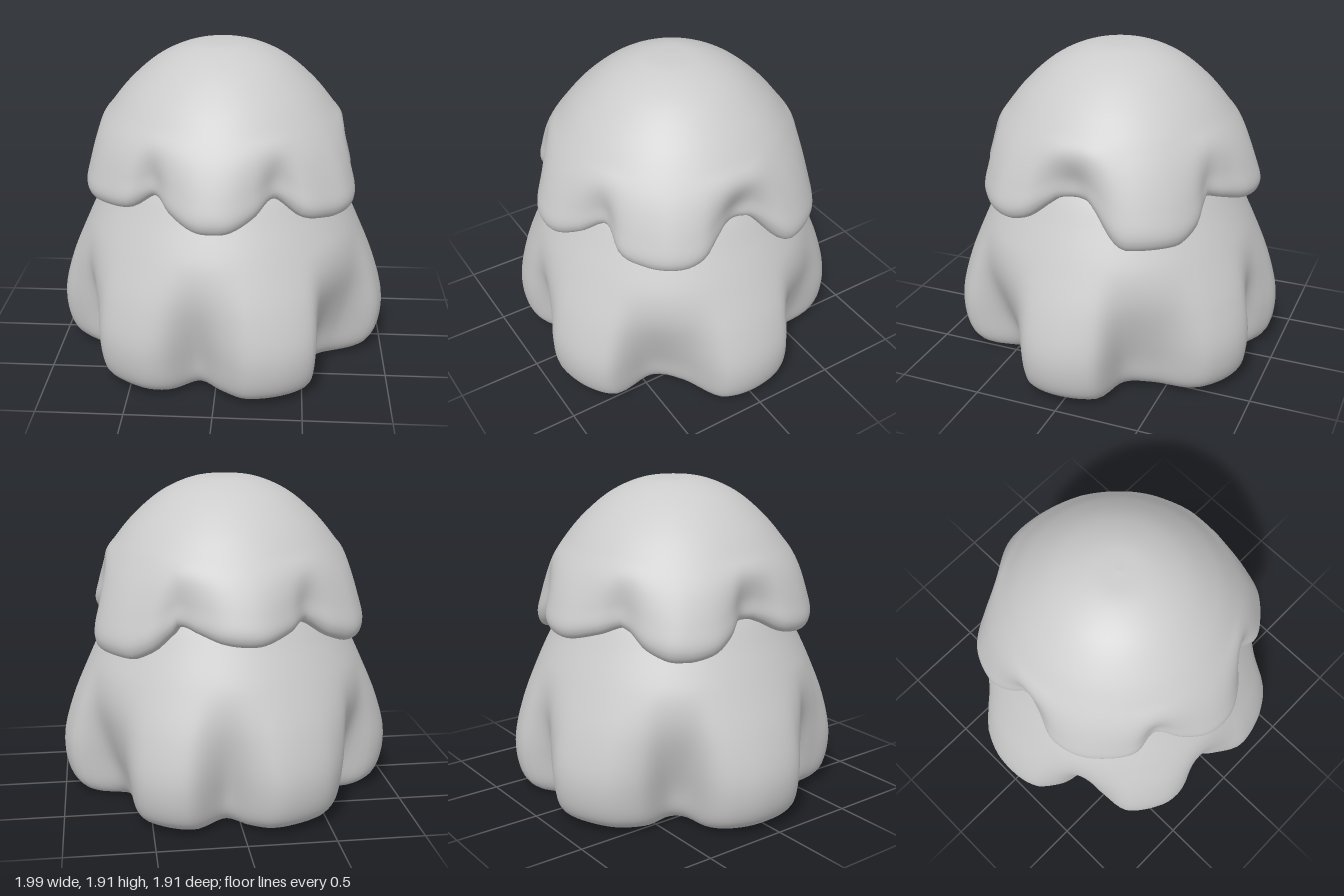
import * as THREE from 'three';

const { smoothstep, clamp, lerp } = THREE.MathUtils;
const TAU = Math.PI * 2;
const material = new THREE.MeshStandardMaterial({ color: 0xcccccc, roughness: 0.8 });

// Turns a closed plan outline of [x, z] points into a radius-by-angle function
function polarOutline(points) {
  const curve = new THREE.CatmullRomCurve3(points.map(([x, z]) => new THREE.Vector3(x, 0, z)), true);
  const polar = curve.getPoints(720).slice(0, -1)
    .map(p => ({ a: (Math.atan2(p.z, p.x) + TAU) % TAU, r: Math.hypot(p.x, p.z) }))
    .sort((p, q) => p.a - q.a);
  return angle => {
    let i = polar.findIndex(p => p.a >= angle);
    if (i < 0) i = 0;
    const q = polar[i], p = polar[(i + polar.length - 1) % polar.length];
    const span = (q.a - p.a + TAU) % TAU;
    return span < 1e-6 ? q.r : lerp(p.r, q.r, ((angle - p.a + TAU) % TAU) / span);
  };
}

// Sweeps a [radius, y] profile around the axis, with a rule reshaping each point
function lobedShell(name, profile, rows, rule) {
  const cols = 168, positions = [], index = [];
  const line = new THREE.CatmullRomCurve3(profile.map(([r, y]) => new THREE.Vector3(r, y, 0)), false, 'centripetal');
  const samples = line.getPoints(rows);
  samples.forEach((p, i) => {
    for (let j = 0; j < cols; j++) {
      const angle = (j / cols) * TAU;
      const [r, y] = rule(Math.max(p.x, 0), p.y, angle);
      positions.push(r * Math.cos(angle), y, r * Math.sin(angle));
      if (i === rows) continue;
      const a = i * cols + j, b = i * cols + ((j + 1) % cols);
      index.push(a, a + cols, b, b, a + cols, b + cols);
    }
  });
  const geometry = new THREE.BufferGeometry();
  geometry.setAttribute('position', new THREE.Float32BufferAttribute(positions, 3));
  geometry.setIndex(index);
  geometry.computeVertexNormals();
  const mesh = new THREE.Mesh(geometry, material);
  mesh.name = name;
  return mesh;
}

export function createModel() {
  const group = new THREE.Group();
  group.name = 'layeredMound';

  // Lower skirt: six swollen lobes that melt into a round cone higher up
  const skirtOutline = polarOutline([
    [1, 0], [0.96, 0.2], [0.77, 0.38], [0.61, 0.58], [0.57, 0.78], [0.42, 0.9], [0.2, 0.95], [0.05, 0.91],
    [-0.12, 0.84], [-0.3, 0.89], [-0.45, 0.86], [-0.65, 0.72], [-0.72, 0.55], [-0.76, 0.37], [-0.86, 0.3],
    [-0.97, 0.15], [-1, 0], [-0.98, -0.18], [-0.87, -0.36], [-0.73, -0.43], [-0.65, -0.53], [-0.62, -0.68],
    [-0.5, -0.83], [-0.35, -0.92], [-0.2, -0.96], [-0.05, -0.93], [0.1, -0.86], [0.3, -0.92], [0.45, -0.88],
    [0.6, -0.75], [0.69, -0.53], [0.79, -0.33], [0.94, -0.22],
  ]);
  const skirtProfile = [
    [0, 0], [0.4, 0], [0.76, 0.003], [0.87, 0.03], [0.935, 0.1], [0.97, 0.3], [0.925, 0.55],
    [0.83, 0.8], [0.735, 1.0], [0.63, 1.2], [0.45, 1.4], [0, 1.5],
  ];
  group.add(lobedShell('lowerSkirt', skirtProfile, 64, (r, y, angle) => {
    const depth = 1 - skirtOutline(angle) / 0.97;
    const fade = 1 - smoothstep(y, 0.15, 0.85);
    return [r * (1 - depth * fade * (depth > 0 ? 1.75 : 1)), y];
  }));

  // Upper cap: a dome whose hem hangs in six scallops with creases between them
  const capOutline = polarOutline([
    [0.67, 0], [0.73, 0.15], [0.78, 0.28], [0.74, 0.45], [0.62, 0.58], [0.5, 0.65], [0.33, 0.64], [0.22, 0.76],
    [0.1, 0.84], [0, 0.86], [-0.12, 0.84], [-0.25, 0.75], [-0.35, 0.63], [-0.5, 0.63], [-0.65, 0.52],
    [-0.75, 0.38], [-0.78, 0.22], [-0.73, 0.08], [-0.7, -0.05], [-0.76, -0.17], [-0.78, -0.3], [-0.7, -0.5],
    [-0.55, -0.6], [-0.38, -0.63], [-0.28, -0.74], [-0.12, -0.84], [0, -0.85], [0.12, -0.82], [0.24, -0.74],
    [0.34, -0.66], [0.5, -0.65], [0.65, -0.57], [0.77, -0.4], [0.79, -0.28], [0.72, -0.12],
  ]);
  const capProfile = [
    [0.55, 1.2], [0.68, 1.12], [0.74, 1.05], [0.79, 1.03], [0.835, 1.045], [0.857, 1.1], [0.825, 1.22],
    [0.75, 1.39], [0.65, 1.54], [0.54, 1.67], [0.37, 1.81], [0.18, 1.89], [0, 1.905],
  ];
  const scallopHem = [1.02, 1.02, 1.04, 1.0, 1.06, 0.95];
  const foldTop = 1.52;
  group.add(lobedShell('upperCap', capProfile, 72, (r, y, angle) => {
    const depth = 1 - capOutline(angle) / 0.857;
    const notch = clamp(depth / 0.17, 0, 1);
    const hem = lerp(scallopHem[Math.floor((angle / TAU) * 6) % 6], 1.17, notch);
    const stretch = (foldTop - hem) / (foldTop - 1.03);
    const crease = 1 - smoothstep(y, 1.1, foldTop);
    return [r * (1 - depth * crease), y < foldTop ? foldTop - (foldTop - y) * stretch : y];
  }));

  return group;
}
